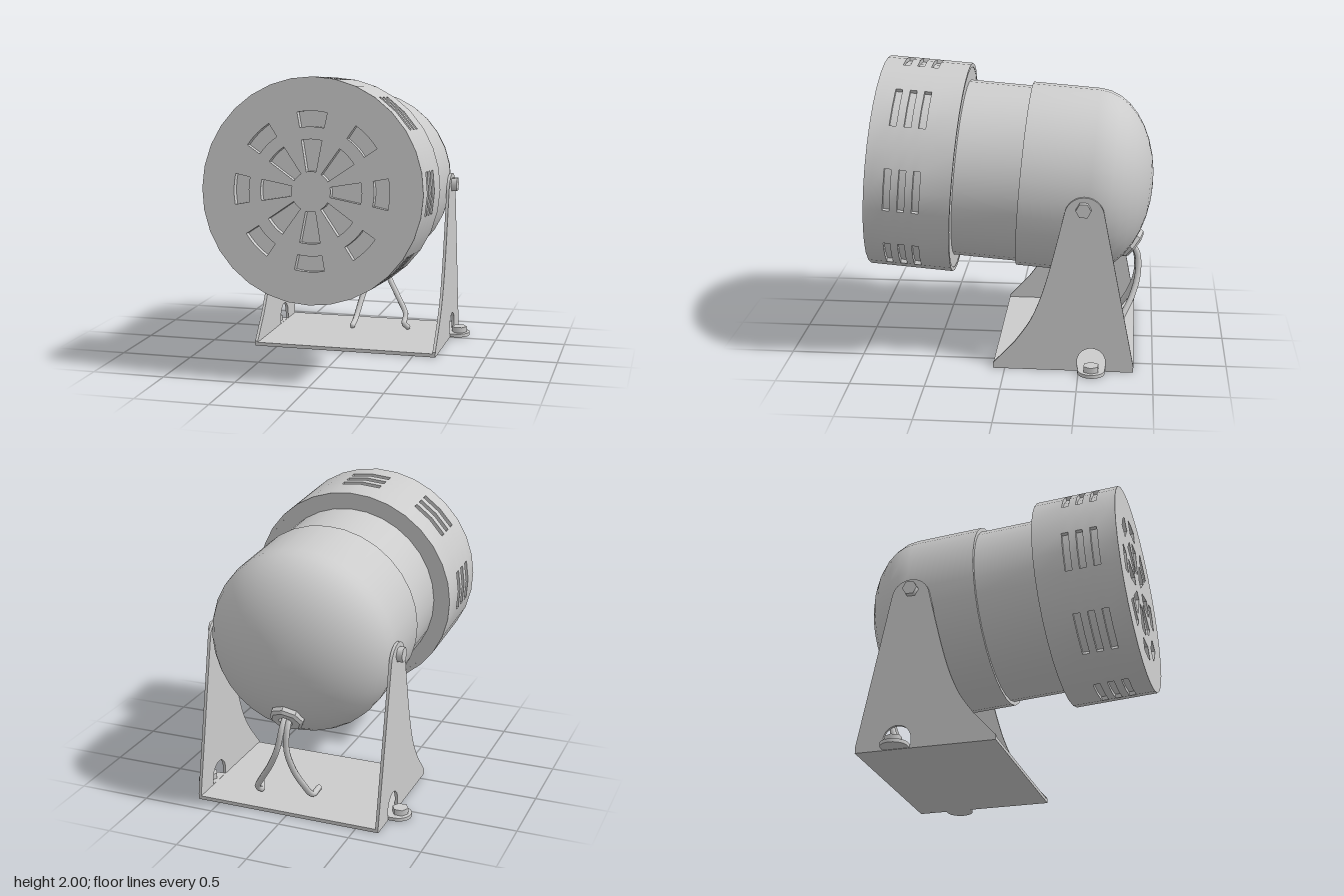
import * as THREE from 'three';
import { mergeGeometries, toCreasedNormals } from 'three/addons/utils/BufferGeometryUtils.js';

const SIDES = 32;
const STEP = (Math.PI * 2) / SIDES;
const DRUM_R = 0.732, CORE_R = 0.705, DRUM_LEN = 0.575, FACE_DEPTH = 0.05;

const material = new THREE.MeshStandardMaterial({ color: 0xcccccc, side: THREE.DoubleSide });

function add(parent, name, geometry) {
  const mesh = new THREE.Mesh(geometry, material);
  mesh.name = name;
  parent.add(mesh);
  return mesh;
}

// Points along a circular arc
function arc(r, a0, a1, n) {
  return Array.from({ length: n + 1 }, (_, i) => {
    const a = a0 + ((a1 - a0) * i) / n;
    return new THREE.Vector2(r * Math.cos(a), r * Math.sin(a));
  });
}
const circle = (r) => arc(r, 0, Math.PI * 2, SIDES).slice(0, SIDES);

// Slab between two distances behind the drum front
function slab(shape, from, to) {
  return new THREE.ExtrudeGeometry(shape, { depth: to - from, bevelEnabled: false }).translate(0, 0, -to);
}

// Lathe around the body axis, profile given as [radius, distance behind the front], back first
function turned(profile) {
  const points = profile.map(([r, s]) => new THREE.Vector2(r, -s));
  return toCreasedNormals(new THREE.LatheGeometry(points, SIDES).rotateX(Math.PI / 2), 0.6);
}

// Front plate with two rings of eight openings
function facePlate() {
  const shape = new THREE.Shape(circle(DRUM_R));
  const rings = [[0.13, 0.335, 0.25, 0.205], [0.415, 0.515, 0.195, 0.195]];
  for (let i = 0; i < 8; i++) {
    const a = (i * Math.PI) / 4;
    for (const [r0, r1, h0, h1] of rings) {
      shape.holes.push(new THREE.Path([...arc(r1, a - h1, a + h1, 4), ...arc(r0, a + h0, a - h0, 4)]));
    }
  }
  return slab(shape, 0, FACE_DEPTH);
}

// Drum wall: full rings alternating with rows broken by slots
function drumWall() {
  const ring = new THREE.Shape(circle(DRUM_R));
  ring.holes.push(new THREE.Path(circle(CORE_R)));
  const cuts = [FACE_DEPTH, 0.13, 0.176, 0.227, 0.273, 0.323, 0.37, DRUM_LEN];
  const parts = [];
  for (let row = 0; row < cuts.length - 1; row++) {
    if (row % 2 === 0) {
      parts.push(slab(ring, cuts[row], cuts[row + 1]));
      continue;
    }
    for (let i = 0; i < 8; i++) {
      const a = (4 * i + 1) * STEP, b = a + 2 * STEP;
      const sector = new THREE.Shape([...arc(DRUM_R, a, b, 2), ...arc(CORE_R, b, a, 2)]);
      parts.push(slab(sector, cuts[row], cuts[row + 1]));
    }
  }
  return parts;
}

function createBody() {
  const body = new THREE.Group();
  body.name = 'body';
  body.position.set(0, 1.27, 0.92);
  body.rotation.x = -0.077;

  add(body, 'slottedDrum', toCreasedNormals(mergeGeometries([facePlate(), ...drumWall()]), 0.5));
  const coreLen = DRUM_LEN - FACE_DEPTH - 0.002;
  add(body, 'drumCore', new THREE.CylinderGeometry(CORE_R, CORE_R, coreLen, SIDES)
    .rotateX(Math.PI / 2).translate(0, 0, -FACE_DEPTH - coreLen / 2));
  add(body, 'neck', turned([[0.615, 1.05], [0.615, DRUM_LEN - 0.02]]));

  // Motor housing with an elliptical dome at the back
  const dome = Array.from({ length: 10 }, (_, i) => {
    const a = (i / 9) * (Math.PI / 2);
    return [0.642 * Math.sin(a), 1.475 + 0.425 * Math.cos(a)];
  });
  add(body, 'motorHousing', turned([...dome, [0.642, 1.01], [0.61, 1.01]]));
  return body;
}

// Upright bracket arm with a rounded top and an arched opening at the foot
function armGeometry() {
  const s = new THREE.Shape();
  s.moveTo(0.08, 0);
  s.lineTo(0.08, 0.035);
  s.lineTo(-0.07, 0.2);
  s.splineThru([[-0.165, 0.34], [-0.235, 0.5], [-0.29, 0.68], [-0.345, 0.9], [-0.394, 1.11]]
    .map(([z, y]) => new THREE.Vector2(z, y)));
  s.absarc(-0.525, 1.087, 0.133, 0.17, Math.PI - 0.2, false);
  s.lineTo(-0.87, 0.04);
  s.lineTo(-0.87, 0);
  const arch = new THREE.Path();
  arch.moveTo(-0.49, 0.025);
  arch.lineTo(-0.49, 0.07);
  arch.absarc(-0.585, 0.07, 0.095, 0, Math.PI, false);
  arch.lineTo(-0.68, 0.025);
  s.holes.push(arch);
  const geo = new THREE.ExtrudeGeometry(s, { depth: 0.02, bevelEnabled: false, curveSegments: 10 });
  return toCreasedNormals(geo.rotateY(-Math.PI / 2), 0.5);
}

// Mounting tab: straight strip with a rounded outer end
function tabGeometry() {
  const s = new THREE.Shape();
  s.moveTo(0, -0.092);
  s.lineTo(0.06, -0.092);
  s.absarc(0.06, 0, 0.092, -Math.PI / 2, Math.PI / 2, false);
  s.lineTo(0, 0.092);
  const geo = new THREE.ExtrudeGeometry(s, { depth: 0.024, bevelEnabled: false, curveSegments: 6 });
  return toCreasedNormals(geo.rotateX(-Math.PI / 2), 0.6);
}

function createBracket() {
  const bracket = new THREE.Group();
  bracket.name = 'bracket';
  add(bracket, 'basePlate', new THREE.BoxGeometry(1.3, 0.025, 0.95)).position.set(0, 0.0125, -0.395);

  for (const side of [1, -1]) {
    const label = side > 0 ? 'left' : 'right';
    add(bracket, label + 'Arm', armGeometry()).position.x = side > 0 ? 0.66 : -0.64;

    const tab = add(bracket, label + 'MountingTab', tabGeometry());
    tab.position.set(side * 0.64, 0.003, -0.587);
    if (side < 0) tab.rotation.y = Math.PI;

    const hex = (r, h) => new THREE.CylinderGeometry(r, r, h, 6).toNonIndexed();
    add(bracket, label + 'MountingBolt', hex(0.056, 0.042).rotateY(Math.PI / 6))
      .position.set(side * 0.715, 0.046, -0.587);
    const pivot = hex(0.052, 0.06).rotateZ(Math.PI / 2);
    add(bracket, label + 'PivotBolt', pivot).position.set(side * 0.67, 1.14, -0.52);
  }
  return bracket;
}

function createCables() {
  const cables = new THREE.Group();
  cables.name = 'cables';

  // Eight-sided grommet facing back and down
  const profile = [[0.045, -0.04], [0.12, -0.04], [0.12, 0.005], [0.1, 0.022], [0.05, 0.022], [0.045, -0.04]]
    .map(([r, y]) => new THREE.Vector2(r, y));
  const grommet = add(cables, 'grommet', toCreasedNormals(new THREE.LatheGeometry(profile, 8), 0.3));
  grommet.position.set(0, 0.7, -0.842);
  grommet.quaternion.setFromUnitVectors(
    new THREE.Vector3(0, 1, 0), new THREE.Vector3(0, -0.61, -0.79).normalize());

  const paths = {
    shortWire: [[-0.015, 0.72, -0.81], [-0.015, 0.65, -0.865], [-0.012, 0.5, -0.88], [-0.04, 0.33, -0.83],
      [-0.075, 0.18, -0.74], [-0.09, 0.065, -0.63], [-0.08, 0.047, -0.49]],
    longWire: [[0.018, 0.72, -0.81], [0.02, 0.65, -0.875], [0.05, 0.5, -0.888], [0.12, 0.35, -0.85],
      [0.22, 0.2, -0.77], [0.28, 0.1, -0.72], [0.28, 0.05, -0.66], [0.33, 0.047, -0.55]],
  };
  for (const [name, points] of Object.entries(paths)) {
    const curve = new THREE.CatmullRomCurve3(points.map((p) => new THREE.Vector3(...p)));
    add(cables, name, new THREE.TubeGeometry(curve, 32, 0.021, 8));
    // Closed wire end
    add(cables, name + 'End', new THREE.SphereGeometry(0.021, 8, 6)).position.set(...points.at(-1));
  }
  return cables;
}

export function createModel() {
  const model = new THREE.Group();
  model.name = 'siren';
  model.add(createBody(), createBracket(), createCables());
  return model;
}
